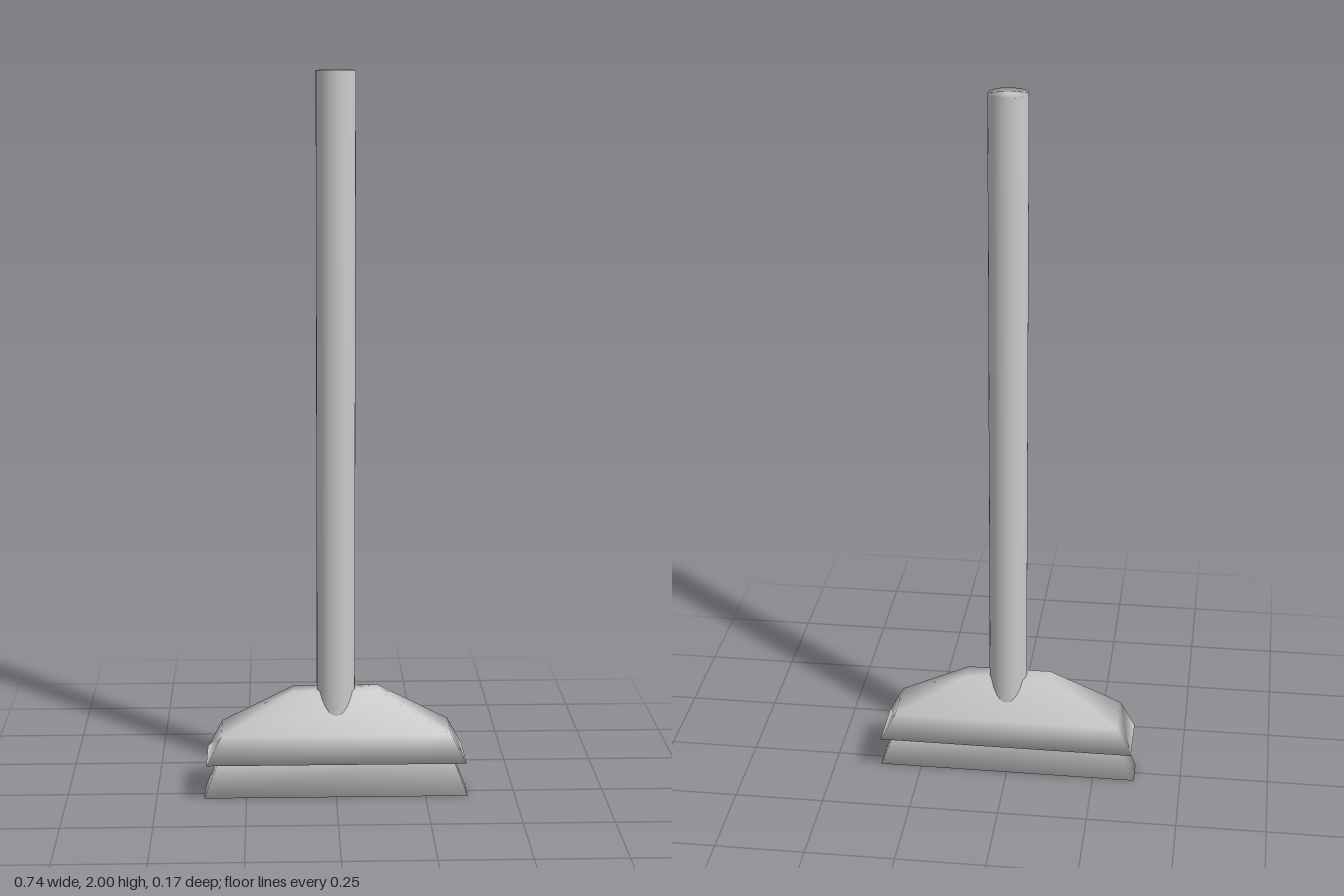
import * as THREE from 'three';
import { mergeVertices } from 'three/addons/utils/BufferGeometryUtils.js';

const material = new THREE.MeshStandardMaterial({ color: 0xcccccc });

// Closed solid through stacked rectangles [y, half width, half depth], with shared smooth vertices
function stackedBlock(name, rings) {
  const positions = [];
  const index = [];
  for (const [y, w, d] of rings) positions.push(-w, y, d, w, y, d, w, y, -d, -w, y, -d);
  for (let r = 0; r < rings.length - 1; r++) {
    for (let i = 0; i < 4; i++) {
      const a = r * 4 + i;
      const b = r * 4 + (i + 1) % 4;
      index.push(a, b, b + 4, a, b + 4, a + 4);
    }
  }
  const t = (rings.length - 1) * 4;
  index.push(0, 2, 1, 0, 3, 2, t, t + 1, t + 2, t, t + 2, t + 3);
  const geometry = new THREE.BufferGeometry();
  geometry.setAttribute('position', new THREE.Float32BufferAttribute(positions, 3));
  geometry.setIndex(index);
  geometry.computeVertexNormals();
  const mesh = new THREE.Mesh(geometry, material);
  mesh.name = name;
  return mesh;
}

export function createModel() {
  const model = new THREE.Group();
  model.name = 'broom';

  // Long round handle sunk into the head, shaded smoothly over its rim
  const rod = new THREE.CylinderGeometry(0.053, 0.053, 1.8, 32);
  rod.deleteAttribute('uv');
  rod.deleteAttribute('normal');
  const rodGeometry = mergeVertices(rod);
  rodGeometry.computeVertexNormals();
  const handle = new THREE.Mesh(rodGeometry, material);
  handle.name = 'handle';
  handle.position.y = 1.1;
  model.add(handle);

  // Tapered head that overhangs the bristles
  model.add(stackedBlock('head', [
    [0.11, 0.36, 0.083],
    [0.19, 0.318, 0.073],
    [0.305, 0.118, 0.028],
  ]));

  // Bristle block, flaring towards the floor
  model.add(stackedBlock('bristles', [
    [0, 0.368, 0.041],
    [0.12, 0.322, 0.036],
  ]));

  return model;
}
